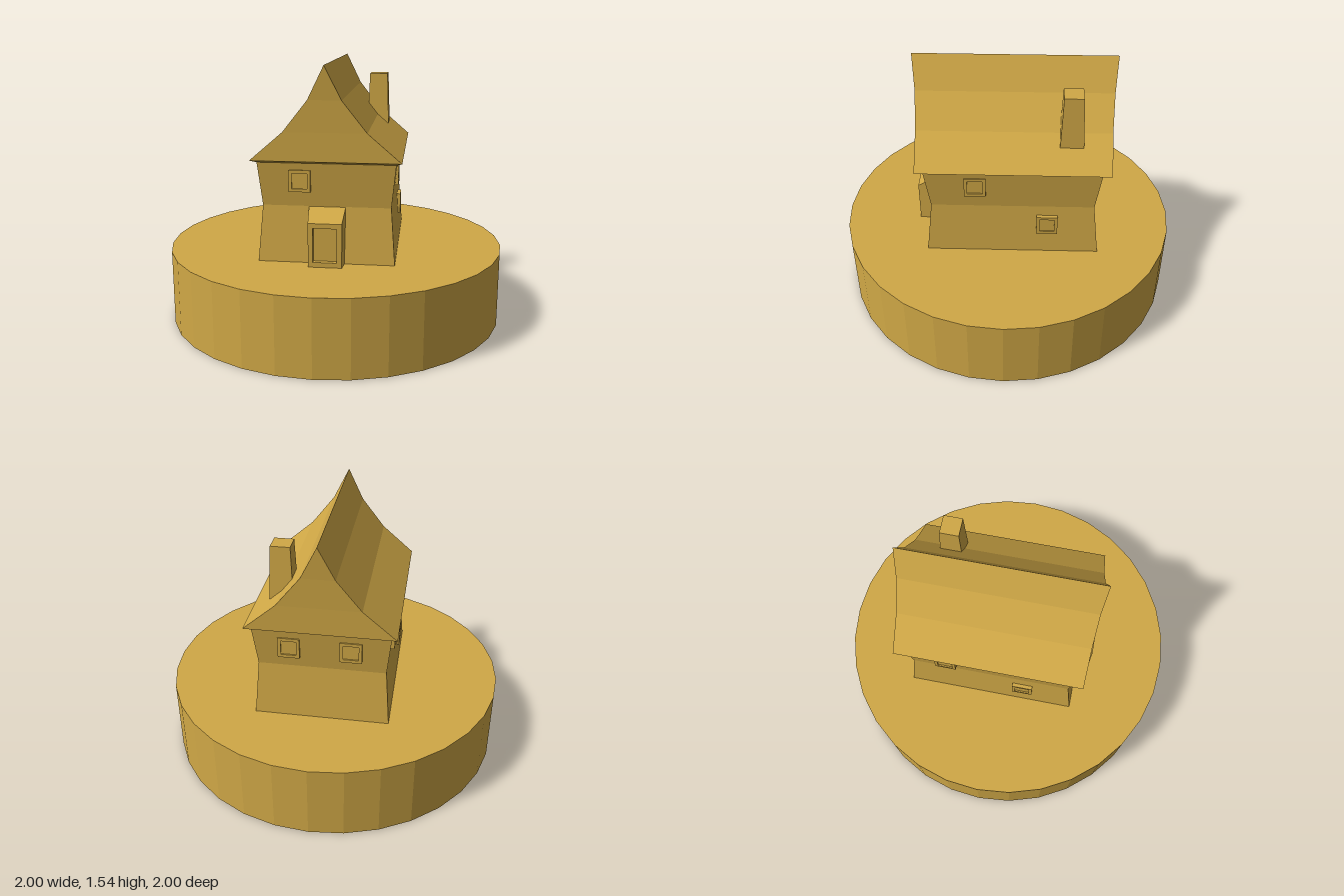
import * as THREE from 'three';

const ochre = new THREE.MeshStandardMaterial({ color: 0xd0a846 });
ochre.name = 'ochre';

// Faceted solid through rings of equal point count, each anticlockwise seen from the last ring's side.
// Caps are filled in strips between the two halves of a ring, so concave gables work too.
function loft(name, rings, capStart = false) {
  const pos = [];
  const tri = (a, b, c) => pos.push(...a, ...b, ...c);
  const n = rings[0].length;
  for (let r = 0; r < rings.length - 1; r++) {
    const a = rings[r], b = rings[r + 1];
    for (let i = 0; i < n; i++) {
      const j = (i + 1) % n;
      tri(a[i], a[j], b[j]);
      tri(a[i], b[j], b[i]);
    }
  }
  const cap = (p) => {
    for (let i = 0; i < n - 2 - i; i++) {
      const k = n - 1 - i;
      tri(p[i], p[i + 1], p[k]);
      if (k - 1 > i + 1) tri(p[i + 1], p[k - 1], p[k]);
    }
  };
  cap(rings[rings.length - 1]);
  if (capStart) cap([...rings[0]].reverse());
  const geo = new THREE.BufferGeometry();
  geo.setAttribute('position', new THREE.Float32BufferAttribute(pos, 3));
  geo.computeVertexNormals();
  const mesh = new THREE.Mesh(geo, ochre);
  mesh.name = name;
  return mesh;
}

// Rectangular rings: lying flat at height y, or upright at depth z
const flatRing = (y, x0, x1, z0, z1) => [[x0, y, z1], [x1, y, z1], [x1, y, z0], [x0, y, z0]];
const uprightRing = (z, x0, x1, y0, y1) => [[x0, y0, z], [x1, y0, z], [x1, y1, z], [x0, y1, z]];

// Square window frame with a recessed pane, facing +z before turning
function makeWindow(name, x, y, z, turn) {
  const o = 0.061, i = 0.043;
  const ring = (d, s) => uprightRing(d, -s, s, -s, s);
  const win = loft(name, [ring(-0.04, o), ring(0, o), ring(0, i), ring(-0.008, i)]);
  win.position.set(x, y, z);
  win.rotation.y = turn;
  return win;
}

export function createModel() {
  const model = new THREE.Group();
  model.name = 'cottage';

  // Round base
  const disc = new THREE.CylinderGeometry(1, 1, 0.44, 32).toNonIndexed();
  disc.computeVertexNormals();
  const base = new THREE.Mesh(disc, ochre);
  base.name = 'base';
  base.position.y = 0.22;
  model.add(base);

  // Walls pinched at mid height
  model.add(loft('walls', [
    flatRing(0.44, -0.385, 0.385, -0.54, 0.468),
    flatRing(0.76, -0.36, 0.36, -0.505, 0.433),
    flatRing(1.008, -0.385, 0.385, -0.536, 0.465),
  ]));

  // Sloped underside of the eaves
  model.add(loft('eaves', [
    flatRing(1.008, -0.385, 0.385, -0.536, 0.465),
    flatRing(1.024, -0.417, 0.417, -0.585, 0.508),
  ]));

  // Swept roof: half profile as [x, y, front z, back z], mirrored over the ridge
  const half = [
    [0.417, 1.024, 0.508, -0.585],
    [0.23, 1.185, 0.511, -0.588],
    [0.092, 1.36, 0.518, -0.597],
    [0, 1.545, 0.536, -0.612],
  ];
  const profile = [...half, ...half.slice(0, 3).reverse().map(([x, ...rest]) => [-x, ...rest])];
  model.add(loft('roof', [
    profile.map(([x, y, , back]) => [x, y, back]),
    profile.map(([x, y, front]) => [x, y, front]),
  ], true));

  // Tapered chimney
  model.add(loft('chimney', [
    flatRing(1.13, 0.166, 0.298, -0.427, -0.295),
    flatRing(1.44, 0.178, 0.287, -0.414, -0.305),
  ], true));

  // Porch with sloping top and recessed door
  model.add(loft('porch', [
    uprightRing(0.42, -0.1, 0.108, 0.44, 0.766),
    uprightRing(0.545, -0.09, 0.098, 0.44, 0.69),
    uprightRing(0.545, -0.063, 0.07, 0.468, 0.662),
    uprightRing(0.515, -0.063, 0.07, 0.468, 0.662),
  ]));

  // Windows on all four walls
  const side = Math.PI / 2;
  model.add(
    makeWindow('frontWindow', -0.147, 0.907, 0.469, 0),
    makeWindow('backWindowLeft', 0.18, 0.89, -0.536, Math.PI),
    makeWindow('backWindowRight', -0.165, 0.89, -0.536, Math.PI),
    makeWindow('leftWindowUpper', 0.389, 0.91, 0.177, side),
    makeWindow('leftWindowLower', 0.387, 0.637, -0.236, side),
    makeWindow('rightWindowUpper', -0.389, 0.89, -0.3, -side),
    makeWindow('rightWindowLower', -0.387, 0.625, 0.16, -side),
  );

  return model;
}
